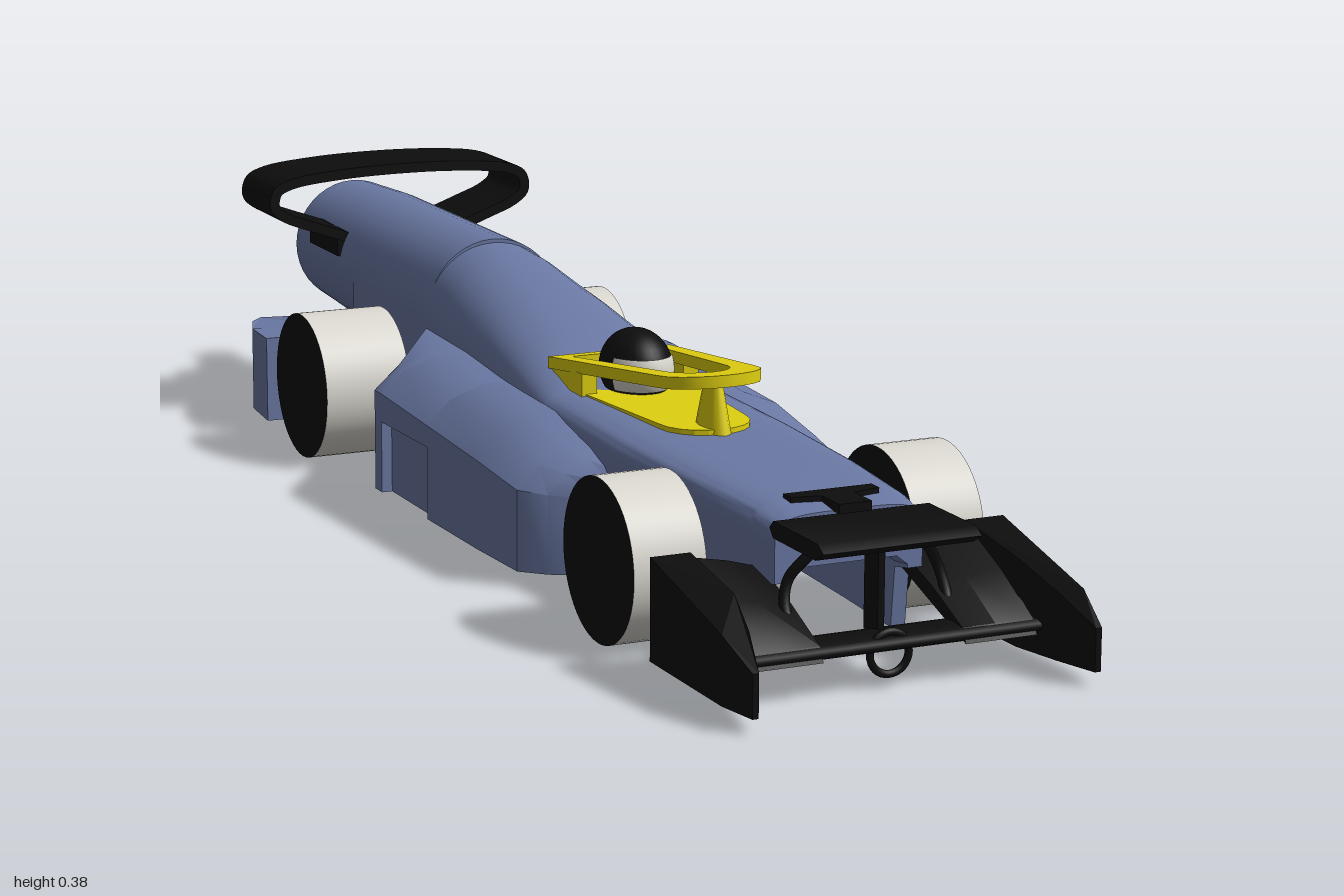
import * as THREE from 'three';
import { toCreasedNormals } from 'three/addons/utils/BufferGeometryUtils.js';

const material = (name, color, opts = {}) => {
  const m = new THREE.MeshStandardMaterial({ color, ...opts });
  m.name = name;
  return m;
};

// Solid through cross-sections (counter-clockwise from +z), ordered by rising z
function loft(stations, side = 1) {
  const rings = stations.map(({ z, pts }) => {
    const p = pts.map(([x, y]) => new THREE.Vector3(side * x, y, z));
    return side < 0 ? p.reverse() : p;
  });
  const n = rings[0].length, index = [];
  for (let i = 0; i < rings.length - 1; i++) {
    for (let j = 0; j < n; j++) {
      const a = i * n + j, b = i * n + (j + 1) % n;
      index.push(a, b, b + n, a, b + n, a + n);
    }
  }
  const cap = r => THREE.ShapeUtils.triangulateShape(r.map(p => new THREE.Vector2(p.x, p.y)), []);
  const last = (rings.length - 1) * n;
  cap(rings[0]).forEach(([a, b, c]) => index.push(a, c, b));
  cap(rings[rings.length - 1]).forEach(([a, b, c]) => index.push(last + a, last + b, last + c));
  const g = new THREE.BufferGeometry().setFromPoints(rings.flat());
  g.setIndex(index);
  return toCreasedNormals(g, 0.6);
}

// Loft along x; the section is given as [-z, y]
const crossLoft = stations => loft(stations).rotateY(Math.PI / 2);

// Flat plate from an outline in x and z, reaching from y to y + h
function plate(shape, y, h) {
  const g = new THREE.ExtrudeGeometry(shape, { depth: h, bevelEnabled: false, curveSegments: 10 });
  return g.rotateX(Math.PI / 2).translate(0, y + h, 0);
}
const polygon = pts => new THREE.Shape(pts.map(p => new THREE.Vector2(...p)));

// Rounded, tapering cockpit outline: half widths at the back and front
function cockpitOutline(back, front, z0, z1) {
  const s = new THREE.Shape();
  s.moveTo(-back, z0);
  s.lineTo(back, z0);
  s.lineTo(front, z1 - 0.07);
  s.bezierCurveTo(front, z1 + 0.015, -front, z1 + 0.015, -front, z1 - 0.07);
  s.closePath();
  return s;
}

// Arched hull section with an open tunnel below
function hullSection([z, w, top, shoulder, power, bottom]) {
  const pts = [], wi = w - 0.02, roof = 0.127;
  for (let i = 0; i <= 24; i++) {
    const a = Math.PI * i / 24, c = Math.cos(a), s = Math.sin(a);
    pts.push([Math.sign(c) * w * Math.abs(c) ** (2 / power),
      shoulder + (top - shoulder) * Math.abs(s) ** (2 / power)]);
  }
  return { z, pts: [[wi - 0.015, roof], [wi, Math.max(bottom + 0.005, roof - 0.02)], [wi, bottom], [w, bottom],
    ...pts, [-w, bottom], [-wi, bottom], [-wi, Math.max(bottom + 0.005, roof - 0.02)], [-wi + 0.015, roof]] };
}

export function createModel() {
  const blue = material('body blue', 0x6a78a3);
  const black = material('black', 0x0d0d0d);
  const white = material('off white', 0xdad8d0);
  const whiteOpen = material('nozzle white', 0xdad8d0, { side: THREE.DoubleSide });
  const yellow = material('yellow', 0xe0d010);
  const model = new THREE.Group();
  const add = (name, geometry, mat, x = 0, y = 0, z = 0) => {
    const m = new THREE.Mesh(geometry, mat);
    m.name = name;
    m.position.set(x, y, z);
    model.add(m);
    return m;
  };
  const tube = (pts, r) => new THREE.TubeGeometry(
    new THREE.CatmullRomCurve3(pts.map(p => new THREE.Vector3(...p))), 20, r, 8);

  // Hull: z, half width, top, shoulder, roundness, bottom
  add('hull', loft([
    [-0.6, 0.1, 0.327, 0.225, 2, 0.02],
    [-0.35, 0.102, 0.327, 0.22, 2, 0.02],
    [-0.25, 0.107, 0.318, 0.21, 2.1, 0.02],
    [-0.1, 0.115, 0.29, 0.2, 2.2, 0.02],
    [0.02, 0.122, 0.262, 0.185, 2.4, 0.02],
    [0.1, 0.126, 0.238, 0.17, 2.8, 0.02],
    [0.16, 0.128, 0.215, 0.16, 4, 0.02],
    [0.4, 0.128, 0.208, 0.16, 4.5, 0.02],
    [0.6, 0.118, 0.205, 0.16, 4.5, 0.02],
    [0.74, 0.108, 0.2, 0.16, 4, 0.02],
    [0.75, 0.107, 0.199, 0.16, 4, 0.1],
    [0.795, 0.1, 0.193, 0.155, 4, 0.11],
  ].map(hullSection)), blue);

  // Engine tube with an open rim, and the nozzle inside it
  const lathe = pts => new THREE.LatheGeometry(pts.map(p => new THREE.Vector2(...p)), 40).rotateX(-Math.PI / 2);
  add('engineTube', toCreasedNormals(lathe([[0, 0.3], [0.1, 0.3], [0.1, 0.72], [0.094, 0.86],
    [0.076, 0.86], [0.074, 0.82], [0, 0.82]]), 0.6), blue, 0, 0.228, 0);
  add('nozzle', lathe([[0.064, 0.81], [0.066, 0.86], [0.06, 0.885], [0.045, 0.915], [0.033, 0.94],
    [0.029, 0.965], [0.031, 1], [0.022, 1], [0.02, 0.97], [0, 0.965]]), whiteOpen, 0, 0.233, 0);

  // Side pods: z, outer x, outer top, inner top, bottom
  const pod = ([z, xo, yo, yt, b]) => ({ z, pts: [[0.1, b], [xo, b], [xo, yo],
    [xo - (xo - 0.1) * 0.25, yo + (yt - yo) * 0.65], [xo - (xo - 0.1) * 0.6, yt], [0.1, yt]] });
  const podParts = {
    sidePodFront: [[0.03, 0.237, 0.15, 0.2, 0.02], [0.2, 0.235, 0.14, 0.195, 0.02],
      [0.32, 0.23, 0.128, 0.175, 0.02], [0.35, 0.2, 0.125, 0.165, 0.02], [0.385, 0.14, 0.12, 0.155, 0.02]],
    sidePodBridge: [[-0.13, 0.24, 0.16, 0.207, 0.12], [0.03, 0.237, 0.15, 0.2, 0.12]],
    sidePodRear: [[-0.3, 0.11, 0.165, 0.207, 0.02], [-0.155, 0.24, 0.16, 0.207, 0.02],
      [-0.13, 0.24, 0.16, 0.207, 0.02]],
  };

  for (const s of [-1, 1]) {
    for (const [name, rows] of Object.entries(podParts)) add(name, loft(rows.map(pod), s), blue);
    add('podVentPanel', new THREE.BoxGeometry(0.02, 0.1, 0.16), blue, s * 0.215, 0.07, -0.05);

    // Rear fin with a sloping top
    const fin = plate(polygon([[0.095, -0.595], [0.24, -0.595], [0.232, -0.68], [0.2, -0.77], [0.153, -0.865],
      [0.125, -0.81], [0.1, -0.74]].map(([x, z]) => [s * x, z])), 0.02, 0.12);
    const endPlate = plate(polygon([[0.187, 0.745], [0.24, 0.745], [0.24, 0.94], [0.23, 1], [0.222, 1],
      [0.205, 0.94], [0.19, 0.87]].map(([x, z]) => [s * x, z])), 0.018, 0.13);
    const slopeTop = (g, rule) => {
      const p = g.attributes.position;
      for (let i = 0; i < p.count; i++) if (p.getY(i) > 0.1) p.setY(i, rule(p.getZ(i)));
      g.computeVertexNormals();
      return g;
    };
    add('rearFin', slopeTop(fin, z => 0.145 - 0.4 * (z + 0.6) ** 2), blue);
    add('frontWingEndPlate', slopeTop(endPlate, z => 0.147 - 1.15 * (z - 0.745) ** 2), black);

    // Wheels and their hubs
    for (const [name, z, inner] of [['frontWheel', 0.595, 0.143], ['rearWheel', -0.447, 0.113]]) {
      const width = 0.24 - inner;
      add(name, new THREE.CylinderGeometry(0.105, 0.105, width, 48).rotateZ(Math.PI / 2),
        [white, black, black], s * (inner + width / 2), 0.105, z);
      add('wheelHub', new THREE.CylinderGeometry(0.028, 0.028, 0.06, 16).rotateZ(Math.PI / 2),
        black, s * (inner - 0.02), 0.11, z);
    }

    // Rising front wing flap and curved strut
    const flap = [[0.095, 0.12], [0.14, 0.133], [0.192, 0.143]].map(([x, h]) => ({
      z: s * x, pts: [[-0.915, 0.045], [-0.75, h - 0.02], [-0.75, h], [-0.83, (h + 0.07) / 2], [-0.905, 0.063]] }));
    if (s < 0) flap.reverse();
    add('frontWingFlap', crossLoft(flap), black);
    add('frontWingStrut', tube([[s * 0.06, 0.172, 0.84], [s * 0.078, 0.155, 0.84], [s * 0.1, 0.125, 0.83],
      [s * 0.108, 0.09, 0.84], [s * 0.1, 0.055, 0.87]], 0.007), black);

    // Side supports of the cockpit ring
    add('cockpitSideSupport', new THREE.BoxGeometry(0.022, 0.045, 0.1), yellow, s * 0.074, 0.219, 0.15);
  }

  // Front wing: bar, upper plane, centre strut, ring and mount
  const bar = new THREE.CylinderGeometry(0.011, 0.011, 0.4, 16).rotateZ(Math.PI / 2).scale(1, 1, 3);
  add('frontWingBar', bar, black, 0, 0.054, 0.882);
  const upper = [[-0.93, 0.181], [-0.91, 0.169], [-0.8, 0.169], [-0.79, 0.18], [-0.8, 0.19], [-0.915, 0.19]];
  add('frontWingUpperPlane', crossLoft([-0.105, 0.105].map(z => ({ z, pts: upper }))), black);
  add('frontWingCentreStrut', new THREE.BoxGeometry(0.009, 0.115, 0.035), black, 0, 0.115, 0.86);
  add('frontRing', new THREE.TorusGeometry(0.026, 0.005, 8, 32), black, 0, 0.042, 0.9);
  add('noseMount', plate(polygon([[-0.06, 0.737], [0.06, 0.737], [0.06, 0.757], [0.022, 0.765], [0.022, 0.81],
    [-0.022, 0.81], [-0.022, 0.765], [-0.06, 0.757]]), 0.192, 0.012), black);

  // Rear wing: ribbon along a smooth path, offset to both sides
  const path = new THREE.CatmullRomCurve3([[0.09, 0.276], [0.14, 0.294], [0.185, 0.312], [0.201, 0.327],
    [0.197, 0.35], [0.175, 0.361], [0.1, 0.37], [0, 0.373], [-0.1, 0.37], [-0.175, 0.361], [-0.197, 0.35],
    [-0.201, 0.327], [-0.185, 0.312], [-0.14, 0.294], [-0.09, 0.276]].map(([x, y]) => new THREE.Vector3(x, y, 0)));
  const edge = d => Array.from({ length: 73 }, (_, i) => {
    const p = path.getPoint(i / 72), t = path.getTangent(i / 72);
    return [p.x + t.y * d, p.y - t.x * d];
  });
  const ribbon = new THREE.ExtrudeGeometry(polygon([...edge(0.0075), ...edge(-0.0075).reverse()]),
    { depth: 0.125, bevelEnabled: false });
  add('rearWing', toCreasedNormals(ribbon, 0.6), black, 0, 0, -0.78);
  for (const s of [-1, 1])
    add('rearWingFoot', new THREE.BoxGeometry(0.02, 0.035, 0.12), black, s * 0.092, 0.264, -0.718);

  // Cockpit floor, sloping protective ring and front pillar
  add('cockpitFloor', plate(cockpitOutline(0.088, 0.062, 0.1, 0.455), 0.2, 0.014), yellow);
  const ringShape = cockpitOutline(0.09, 0.07, 0.1, 0.47);
  ringShape.holes.push(cockpitOutline(0.066, 0.045, 0.125, 0.425));
  const ring = plate(ringShape, 0.23, 0.016), rp = ring.attributes.position;
  for (let i = 0; i < rp.count; i++) rp.setY(i, rp.getY(i) + (rp.getZ(i) - 0.1) * 0.115);
  ring.computeVertexNormals();
  add('cockpitRing', toCreasedNormals(ring, 0.6), yellow);
  add('cockpitPillar', new THREE.CylinderGeometry(0.018, 0.038, 0.07, 16).scale(0.5, 1, 1), yellow, 0, 0.24, 0.42);

  // Driver's helmet with a pale visor facing forward
  add('helmet', new THREE.SphereGeometry(0.052, 32, 20).scale(0.9, 1, 1.15), black, 0, 0.242, 0.185);
  add('visor', new THREE.SphereGeometry(0.054, 24, 8, Math.PI * 0.12, Math.PI * 0.76, 1.2, 0.85)
    .scale(0.9, 1, 1.15), white, 0, 0.242, 0.185);

  return model;
}
